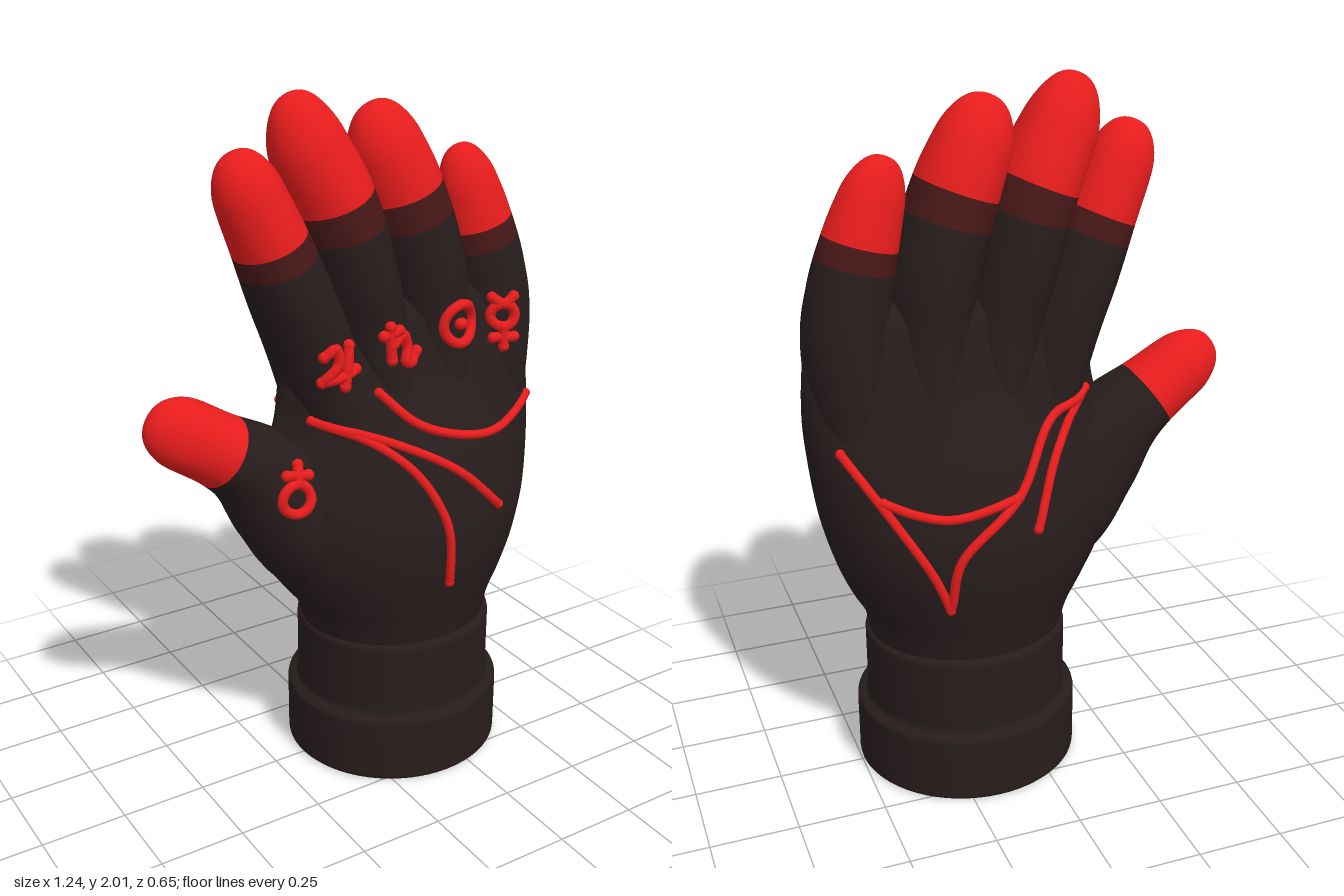
import * as THREE from 'three';

const dark = new THREE.MeshStandardMaterial({ color: 0x271c1c });
dark.name = 'dark glove';
const band = new THREE.MeshStandardMaterial({ color: 0x471717 });
band.name = 'dark red band';
const red = new THREE.MeshStandardMaterial({ color: 0xec1d1d });
red.name = 'bright red';

// Smooth interpolation through rows of numbers, u from 0 to 1
function sample(rows, u) {
  const n = rows.length - 1;
  const i = Math.min(Math.floor(u * n), n - 1);
  const t = u * n - i;
  const at = (k) => rows[Math.max(0, Math.min(n, k))];
  return rows[i].map((p1, c) => {
    const p0 = at(i - 1)[c], p2 = at(i + 1)[c], p3 = at(i + 2)[c];
    const m1 = (p2 - p0) / 2, m2 = (p3 - p1) / 2;
    return p1 + t * (m1 + t * (3 * (p2 - p1) - 2 * m1 - m2 + t * (2 * (p1 - p2) + m1 + m2)));
  });
}

// Closed skin over rings: point(u, angle) gives [x, y, z]
function loft(us, sides, point) {
  const pos = [], index = [];
  us.forEach((u, i) => {
    for (let j = 0; j < sides; j++) {
      pos.push(...point(u, (j / sides) * Math.PI * 2));
      if (i === us.length - 1) continue;
      const a = i * sides + j, b = i * sides + ((j + 1) % sides);
      index.push(a, a + sides, b, b, a + sides, b + sides);
    }
  });
  const g = new THREE.BufferGeometry();
  g.setAttribute('position', new THREE.Float32BufferAttribute(pos, 3));
  g.setIndex(index);
  g.computeVertexNormals();
  return g;
}

// Palm rows: y, left edge, right edge, half depth, thinning on the thumb side
const PALM = [
  [0.40, -0.11, 0.45, 0.255, 0],
  [0.50, -0.14, 0.468, 0.272, 0],
  [0.58, -0.2, 0.51, 0.288, 0.2],
  [0.68, -0.27, 0.55, 0.306, 0.5],
  [0.80, -0.325, 0.583, 0.31, 0.85],
  [0.90, -0.325, 0.60, 0.292, 0.95],
  [1.00, -0.285, 0.612, 0.262, 0.9],
  [1.10, -0.238, 0.62, 0.215, 0.6],
  [1.20, -0.213, 0.618, 0.17, 0.1],
  [1.30, -0.2, 0.608, 0.132, 0],
  [1.40, -0.165, 0.588, 0.1, 0],
  [1.48, -0.1, 0.52, 0.0, 0],
];

function makePalm() {
  const us = Array.from({ length: 67 }, (_, i) => i / 66);
  const mid = 0.17;
  const geo = loft(us, 72, (u, a) => {
    const [y, xl, xr, d, q] = sample(PALM, u);
    const c = Math.cos(a), s = Math.sin(a);
    const thin = c < 0 ? Math.pow(Math.abs(s), q) : 1;
    return [mid + c * (c < 0 ? mid - xl : xr - mid), y, d * s * thin];
  });
  return new THREE.Mesh(geo, dark);
}

// Digit rows: x, y, half width, half depth; the last row is the tip
const DIGITS = {
  indexFinger: { redFrom: 0.6, rows: [
    [-0.03, 1.0, 0.1, 0.16], [-0.112, 1.3, 0.115, 0.148], [-0.177, 1.47, 0.112, 0.142],
    [-0.237, 1.62, 0.105, 0.118], [-0.297, 1.76, 0.095, 0.09], [-0.335, 1.868, 0.078, 0.06]] },
  middleFinger: { redFrom: 0.615, rows: [
    [0.11, 1.0, 0.1, 0.2], [0.06, 1.32, 0.113, 0.158], [0.015, 1.5, 0.118, 0.163],
    [-0.045, 1.7, 0.118, 0.147], [-0.118, 1.86, 0.108, 0.105], [-0.17, 2.0, 0.086, 0.06]] },
  ringFinger: { redFrom: 0.615, rows: [
    [0.29, 1.0, 0.1, 0.2], [0.265, 1.32, 0.118, 0.153], [0.24, 1.5, 0.124, 0.152],
    [0.18, 1.7, 0.12, 0.13], [0.122, 1.84, 0.108, 0.098], [0.08, 1.957, 0.086, 0.055]] },
  littleFinger: { redFrom: 0.585, rows: [
    [0.48, 1.0, 0.1, 0.15], [0.493, 1.3, 0.118, 0.135], [0.474, 1.46, 0.115, 0.118],
    [0.438, 1.6, 0.104, 0.095], [0.402, 1.71, 0.089, 0.072], [0.362, 1.815, 0.07, 0.045]] },
  thumb: { redFrom: 0.65, noBand: true, rows: [
    [0.1, 0.57, 0.12, 0.15], [-0.08, 0.76, 0.2, 0.18], [-0.215, 0.9, 0.172, 0.155],
    [-0.315, 1.0, 0.127, 0.135], [-0.405, 1.067, 0.105, 0.115],
    [-0.515, 1.14, 0.1, 0.085], [-0.61, 1.195, 0.085, 0.05]] },
};

function makeDigit({ rows, redFrom, noBand }) {
  const sides = 40, capFrom = 1 - 1 / (rows.length - 1);
  const us = [];
  for (let i = 0; i < 80; i++) us.push((i / 80) * capFrom);
  for (let i = 0; i <= 14; i++) us.push(capFrom + (1 - capFrom) * Math.sin((i / 14) * Math.PI / 2));
  const geo = loft(us, sides, (u, a) => {
    const [x, y, rx, rz] = sample(rows, u);
    const p = sample(rows, Math.max(0, u - 0.01)), n = sample(rows, Math.min(1, u + 0.01));
    const len = Math.hypot(n[0] - p[0], n[1] - p[1]);
    const tx = (n[0] - p[0]) / len, ty = (n[1] - p[1]) / len;
    const w = Math.max(0, (u - capFrom) / (1 - capFrom));
    const f = Math.sqrt(Math.max(0, 1 - w * w));
    const k = rx * f * Math.cos(a);
    return [x + ty * k, y - tx * k, rz * f * Math.sin(a)];
  });
  // Dark shaft, transition band and red tip
  const ring = (u) => us.findIndex((v) => v >= u - 1e-6) * sides * 6;
  const b = ring(noBand ? redFrom : redFrom - 0.085), r = ring(redFrom);
  geo.addGroup(0, b, 0);
  geo.addGroup(b, r - b, 1);
  geo.addGroup(r, geo.index.count - r, 2);
  return new THREE.Mesh(geo, [dark, band, red]);
}

// Raised strokes in [x, y], laid on the skin of the hand
const FRONT_LINES = [
  [[0.01, 1.2], [0.1, 1.11], [0.22, 1.06], [0.36, 1.04], [0.555, 1.08]],
  [[-0.165, 1.13], [0.037, 1.06], [0.197, 0.97], [0.34, 0.835]],
  [[-0.165, 1.13], [-0.03, 1.07], [0.07, 0.98], [0.143, 0.83], [0.16, 0.64]],
];
const BACK_LINES = [
  [[0.55, 1.06], [0.43, 0.875], [0.345, 0.73], [0.3, 0.62]],
  [[-0.17, 1.14], [-0.03, 1.1], [0.1, 0.93], [0.27, 0.78], [0.3, 0.62]],
  [[0.46, 0.94], [0.38, 0.91], [0.29, 0.895], [0.1, 0.93]],
  [[0.05, 0.83], [-0.02, 0.99], [-0.14, 1.13]],
];
const circle = (x, y, r) => Array.from({ length: 16 }, (_, i) =>
  [x + r * Math.cos(i * Math.PI / 8), y + r * Math.sin(i * Math.PI / 8)]);
const SIGNS = {
  indexSign: [
    [[-0.16, 1.33], [-0.128, 1.35], [-0.118, 1.31], [-0.16, 1.255]],
    [[-0.16, 1.255], [-0.06, 1.28]], [[-0.08, 1.35], [-0.1, 1.24]]],
  middleSign: [
    [[0.04, 1.385], [0.045, 1.29]], [[0.022, 1.36], [0.07, 1.37]],
    [[0.045, 1.33], [0.085, 1.355], [0.1, 1.315], [0.09, 1.28], [0.115, 1.27], [0.14, 1.295]]],
  ringSign: [circle(0.28, 1.352, 0.055), [[0.276, 1.352], [0.284, 1.352]]],
  littleSign: [
    circle(0.45, 1.342, 0.033), [[0.42, 1.395], [0.45, 1.376], [0.48, 1.395]],
    [[0.45, 1.308], [0.45, 1.25]], [[0.42, 1.277], [0.48, 1.277]]],
  thumbSign: [
    circle(-0.252, 0.942, 0.042), [[-0.245, 0.987], [-0.232, 1.03]],
    [[-0.275, 1.012], [-0.205, 0.998]]],
};

function makeStroke(name, points, skin, side, radius, lift) {
  const closed = points.length === 16;
  const flat = new THREE.CatmullRomCurve3(points.map(([x, y]) => new THREE.Vector3(x, y, 0)), closed);
  const count = points.length === 2 ? 6 : 28;
  const ray = new THREE.Raycaster();
  const path = [];
  flat.getSpacedPoints(count).forEach((p, i) => {
    if (closed && i === count) return;
    ray.set(new THREE.Vector3(p.x, p.y, 2 * side), new THREE.Vector3(0, 0, -side));
    const hit = ray.intersectObjects(skin)[0];
    if (hit) path.push(hit.point.add(new THREE.Vector3(0, 0, side * lift)));
  });
  const group = new THREE.Group();
  group.name = name;
  const curve = new THREE.CatmullRomCurve3(path, closed);
  const tube = new THREE.Mesh(new THREE.TubeGeometry(curve, count * 2, radius, 8, closed), red);
  tube.name = name + 'Tube';
  group.add(tube);
  if (!closed) {
    [path[0], path[path.length - 1]].forEach((end, i) => {
      const ball = new THREE.Mesh(new THREE.SphereGeometry(radius * 1.1, 10, 8), red);
      ball.name = name + (i ? 'EndCap' : 'StartCap');
      ball.position.copy(end);
      group.add(ball);
    });
  }
  return group;
}

export function createModel() {
  const model = new THREE.Group();
  model.name = 'hand';
  const add = (name, part) => { part.name = name; model.add(part); return part; };

  // Stepped wrist and round foot
  const profile = [[0, 0], [0.32, 0], [0.326, 0.006], [0.327, 0.012], [0.327, 0.188], [0.325, 0.196],
    [0.318, 0.202], [0.302, 0.205], [0.297, 0.212], [0.295, 0.225], [0.295, 0.418], [0.293, 0.427],
    [0.286, 0.434], [0.2, 0.45]].map(([x, y]) => new THREE.Vector2(x, y));
  const wrist = add('wristBase', new THREE.Mesh(new THREE.LatheGeometry(profile, 64), dark));
  wrist.position.x = 0.17;
  wrist.scale.z = 0.965;

  // Hand
  const skin = [add('palm', makePalm())];
  for (const [name, spec] of Object.entries(DIGITS)) skin.push(add(name, makeDigit(spec)));

  // Lines and signs
  FRONT_LINES.forEach((l, i) => model.add(makeStroke('palmLine' + (i + 1), l, skin, 1, 0.013, 0.004)));
  BACK_LINES.forEach((l, i) => model.add(makeStroke('backLine' + (i + 1), l, skin, -1, 0.013, 0.004)));
  for (const [name, strokes] of Object.entries(SIGNS)) {
    const sign = add(name, new THREE.Group());
    strokes.forEach((s, i) => sign.add(makeStroke(name + 'Stroke' + (i + 1), s, skin, 1, 0.015, 0.01)));
  }
  return model;
}
